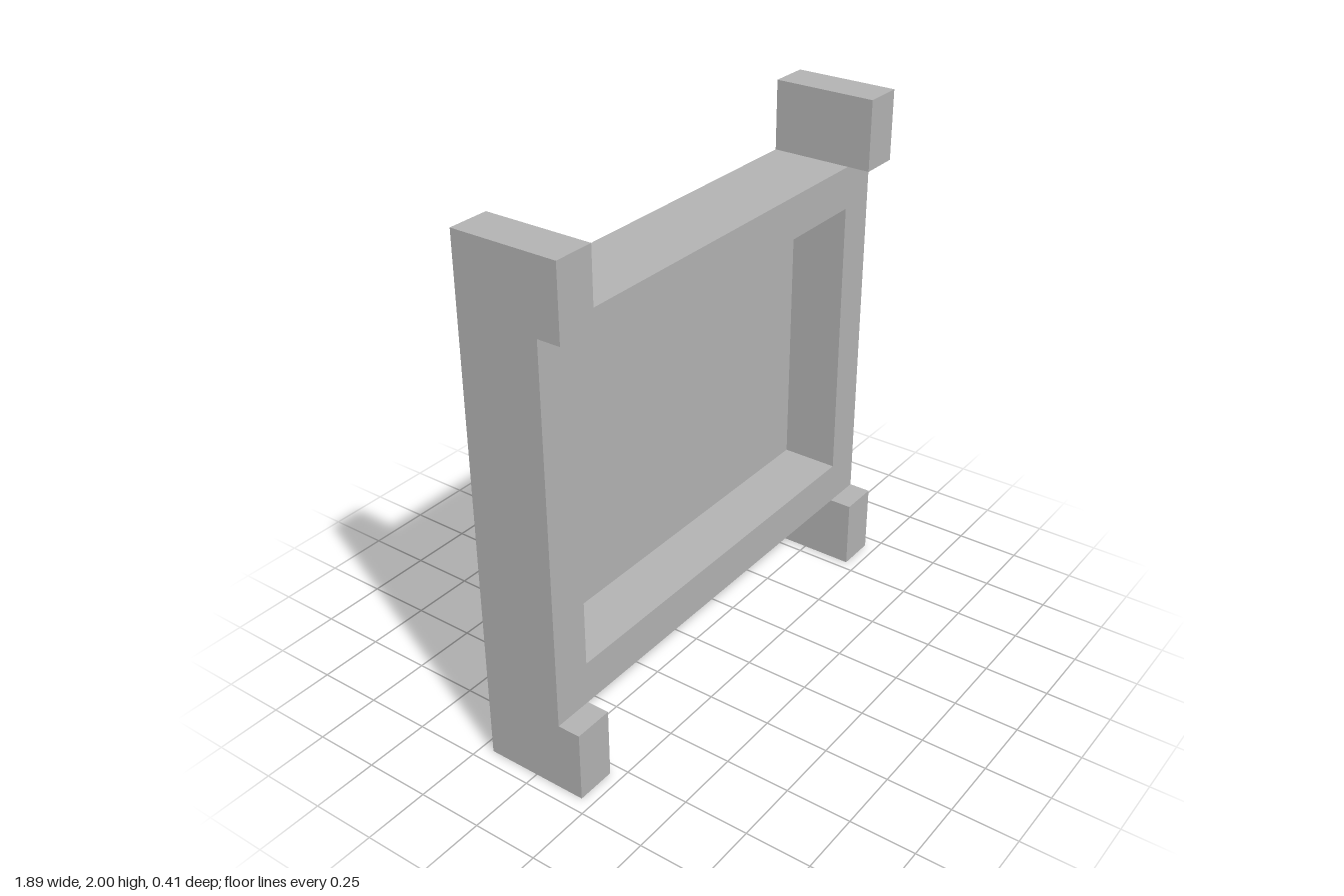
import * as THREE from 'three';

export function createModel() {
  const group = new THREE.Group();
  const grey = new THREE.MeshStandardMaterial({ color: 0xb2b2b2 });
  grey.name = 'plain grey';

  const outer = 0.945, inner = 0.79;             // post sides
  const back = -0.203, face = 0.115, foot = 0.203; // depth levels
  const recess = -0.11;                          // front of the back panel
  const low = 0.275, high = 1.73;                // rail outer edges
  const openLow = 0.44, openHigh = 1.565;        // opening edges

  const add = (name, geometry) => {
    const mesh = new THREE.Mesh(geometry, grey);
    mesh.name = name;
    group.add(mesh);
    return mesh;
  };

  // Box between two heights and two depths, spanning the posts
  const addSpan = (name, y0, y1, z0, z1) =>
    add(name, new THREE.BoxGeometry(2 * inner, y1 - y0, z1 - z0))
      .position.set(0, (y0 + y1) / 2, (z0 + z1) / 2);

  // Posts: side profile with projecting top and bottom blocks
  const profile = new THREE.Shape([
    [back, 0], [foot, 0], [foot, low], [face, low],
    [face, high], [foot, high], [foot, 2], [back, 2],
  ].map(([z, y]) => new THREE.Vector2(-z, y)));
  const postGeometry = new THREE.ExtrudeGeometry(profile, { depth: outer - inner, bevelEnabled: false });
  postGeometry.rotateY(Math.PI / 2);
  add('leftPost', postGeometry).position.x = inner;
  add('rightPost', postGeometry).position.x = -outer;

  // Rails and recessed panel
  addSpan('topRail', openHigh, high, back, face);
  addSpan('bottomRail', low, openLow, back, face);
  addSpan('backPanel', openLow, openHigh, back, recess);

  return group;
}
